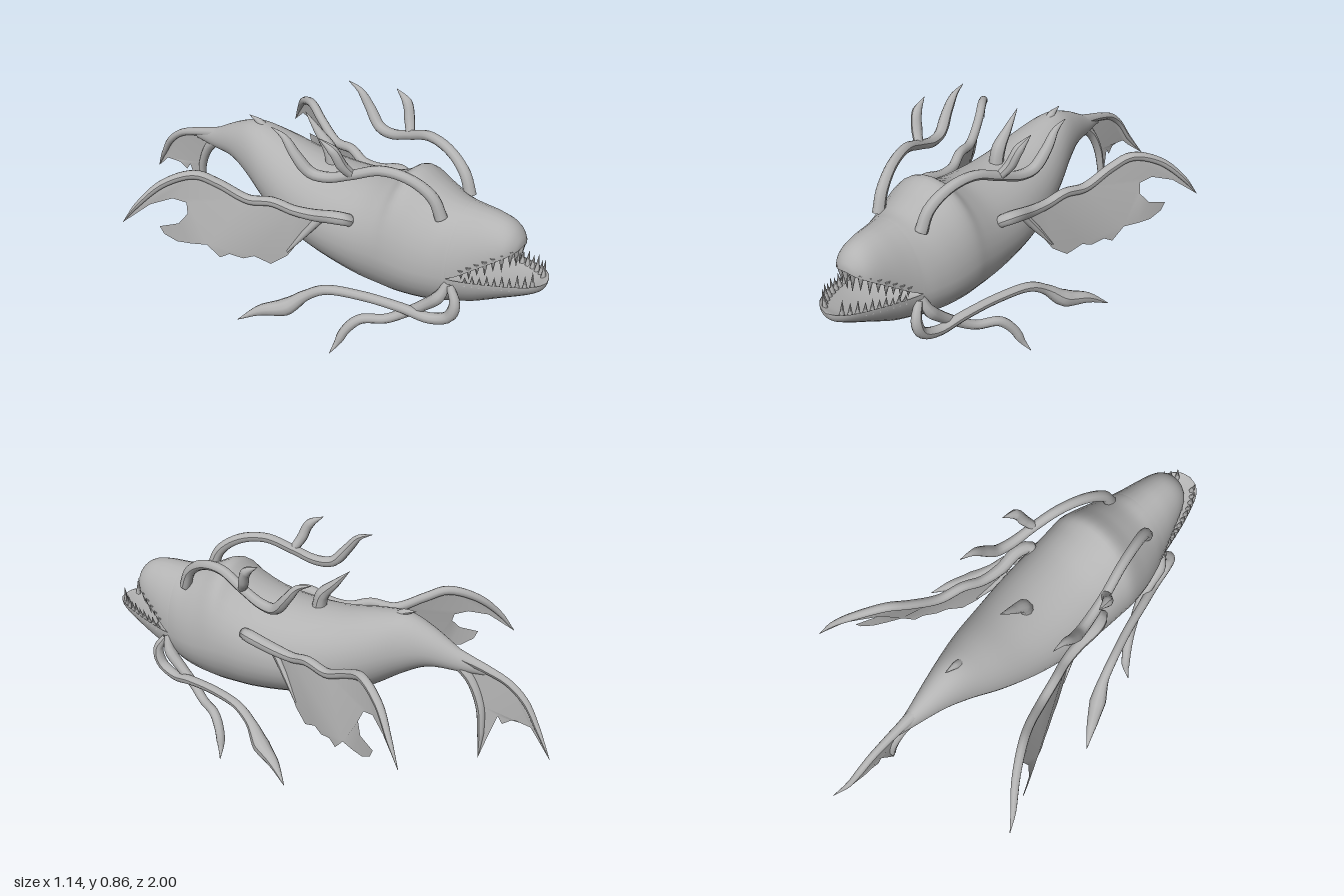
import * as THREE from 'three';

const V = (p, s = 1) => new THREE.Vector3(p[0] * s, p[1], p[2]);
const skin = new THREE.MeshStandardMaterial({ color: 0xb3b3b3, side: THREE.DoubleSide });
skin.name = 'grey skin';

function mesh(name, geometry) {
  const m = new THREE.Mesh(geometry, skin);
  m.name = name;
  return m;
}

// Smooth hull through sections [z, halfWidth, top, widestHeight, bottom], front to back
function loft(rows, steps = 5, sides = 32) {
  const a = new THREE.CatmullRomCurve3(rows.map(r => V([r[0], r[1], r[2]])), false, 'catmullrom');
  const b = new THREE.CatmullRomCurve3(rows.map(r => V([r[0], r[3], r[4]])), false, 'catmullrom');
  const n = (rows.length - 1) * steps, pos = [], idx = [];
  for (let i = 0; i <= n; i++) {
    const p = a.getPoint(i / n), q = b.getPoint(i / n);
    const w = Math.max(p.y, 0), top = p.z, mid = q.y, bottom = q.z;
    for (let j = 0; j < sides; j++) {
      const t = j / sides * Math.PI * 2, s = Math.sin(t);
      pos.push(w * Math.cos(t), mid + (s > 0 ? top - mid : mid - bottom) * s, p.x);
      if (i < n) {
        const k = i * sides + j, l = i * sides + (j + 1) % sides;
        idx.push(k, k + sides, l, l, k + sides, l + sides);
      }
    }
  }
  const g = new THREE.BufferGeometry();
  g.setAttribute('position', new THREE.Float32BufferAttribute(pos, 3));
  g.setIndex(idx);
  g.computeVertexNormals();
  return g;
}

// Tube whose radius follows a list of values; side = -1 mirrors it
function limb(points, radii, side = 1, steps = 40) {
  const curve = new THREE.CatmullRomCurve3(points.map(p => V(p, side)));
  const g = new THREE.TubeGeometry(curve, steps, 1, 10), at = g.attributes.position;
  const v = new THREE.Vector3();
  for (let i = 0; i < at.count; i++) {
    const t = Math.floor(i / 11) / steps, c = curve.getPointAt(t);
    const f = t * (radii.length - 1), k = Math.min(Math.floor(f), radii.length - 2);
    const r = THREE.MathUtils.lerp(radii[k], radii[k + 1], f - k);
    v.fromBufferAttribute(at, i).sub(c).multiplyScalar(r).add(c);
    at.setXYZ(i, v.x, v.y, v.z);
  }
  g.computeVertexNormals();
  return g;
}

// Thin membrane drawn in (z, y), placed sideways by a rule
function sheet(outline, xRule) {
  const g = new THREE.ShapeGeometry(new THREE.Shape(outline.map(p => new THREE.Vector2(...p))));
  const at = g.attributes.position;
  for (let i = 0; i < at.count; i++) {
    const z = at.getX(i), y = at.getY(i);
    at.setXYZ(i, xRule(z, y), y, z);
  }
  g.computeVertexNormals();
  return g;
}

// Row of cone teeth along one side of a lip
function teeth(name, lip, count, dir, side, group) {
  const curve = new THREE.CatmullRomCurve3(lip.map(p => V(p, side)));
  for (let i = 0; i < count; i++) {
    const t = (i + 0.5) / count, h = (dir < 0 ? 0.1 : 0.08) * (1 - 0.45 * t) * (i % 2 ? 0.85 : 1);
    const tooth = mesh(name, new THREE.ConeGeometry(dir < 0 ? 0.014 : 0.012, h, 6));
    tooth.position.copy(curve.getPointAt(t));
    tooth.position.y += dir * (h / 2 - 0.012);
    if (dir < 0) tooth.rotation.x = Math.PI;
    tooth.rotation.z += -dir * side * 0.1;
    group.add(tooth);
  }
}

export function createModel() {
  const model = new THREE.Group();
  model.name = 'seaBeast';

  // Trunk, from the mouth corners to the tail root
  model.add(mesh('body', loft([
    [0.66, 0.168, 0.638, 0.388, 0.222], [0.6, 0.192, 0.643, 0.39, 0.203], [0.52, 0.215, 0.675, 0.395, 0.19],
    [0.43, 0.23, 0.715, 0.41, 0.18], [0.36, 0.23, 0.67, 0.41, 0.18], [0.25, 0.226, 0.625, 0.4, 0.187],
    [0.09, 0.213, 0.608, 0.4, 0.215], [-0.07, 0.185, 0.62, 0.42, 0.25], [-0.23, 0.145, 0.655, 0.48, 0.32],
    [-0.36, 0.1, 0.672, 0.53, 0.41], [-0.47, 0.065, 0.635, 0.545, 0.47], [-0.6, 0.03, 0.565, 0.52, 0.48],
    [-0.7, 0.008, 0.53, 0.51, 0.49]])));

  // Snout with a hollow palate, and the scooped lower jaw
  model.add(mesh('upperHead', loft([
    [0.892, 0, 0.535, 0.535, 0.535], [0.885, 0.04, 0.565, 0.526, 0.53], [0.86, 0.078, 0.6, 0.51, 0.53],
    [0.82, 0.103, 0.624, 0.485, 0.52], [0.76, 0.128, 0.635, 0.445, 0.485], [0.7, 0.152, 0.637, 0.405, 0.43],
    [0.66, 0.168, 0.638, 0.388, 0.388]])));
  model.add(mesh('lowerJaw', loft([
    [1, 0, 0.415, 0.415, 0.412], [0.985, 0.045, 0.412, 0.418, 0.38], [0.94, 0.084, 0.395, 0.416, 0.352],
    [0.84, 0.122, 0.372, 0.405, 0.302], [0.757, 0.143, 0.365, 0.394, 0.257], [0.7, 0.156, 0.37, 0.388, 0.234],
    [0.66, 0.168, 0.388, 0.388, 0.222]])));

  // Back spikes
  model.add(mesh('backSpike', limb([[0, 0.58, 0.03], [0, 0.66, 0.01], [0, 0.72, -0.045], [0, 0.79, -0.11]],
    [0.03, 0.028, 0.016, 0.001])));
  model.add(mesh('rearSpike', limb([[0, 0.64, -0.31], [0, 0.67, -0.345], [0, 0.688, -0.4]], [0.02, 0.014, 0.001])));

  // Tail: two curved lobes with a ragged web between them
  const tailX = (z, y) => 0.055 * Math.max(0, (-z - 0.82) / 0.18) ** 2
    + 0.035 * Math.max(0, (0.53 - y) / 0.4) * THREE.MathUtils.clamp((z + 0.9) / 0.2, 0, 1);
  const upper = [[-0.53, 0.56], [-0.71, 0.515], [-0.8, 0.48], [-0.87, 0.42], [-0.93, 0.33], [-1, 0.23]];
  const lower = [[-0.56, 0.53], [-0.64, 0.46], [-0.69, 0.36], [-0.705, 0.25], [-0.705, 0.13]];
  const onTail = ([z, y]) => [tailX(z, y), y, z];
  model.add(mesh('upperTailLobe', limb(upper.map(onTail), [0.03, 0.02, 0.016, 0.015, 0.011, 0.001])));
  model.add(mesh('lowerTailLobe', limb(lower.map(onTail), [0.025, 0.02, 0.018, 0.014, 0.001])));
  model.add(mesh('tailWeb', sheet([...upper, [-0.93, 0.29], [-0.9, 0.32], [-0.86, 0.325], [-0.82, 0.325],
    [-0.785, 0.3], [-0.765, 0.33], [-0.74, 0.25], ...lower.slice().reverse()], tailX)));

  for (const side of [1, -1]) {
    const half = new THREE.Group();
    half.name = side > 0 ? 'leftSide' : 'rightSide';
    model.add(half);

    // Forked feeler on the brow
    half.add(mesh('browFeeler', limb([[0.105, 0.6, 0.6], [0.115, 0.68, 0.565], [0.14, 0.74, 0.48],
      [0.17, 0.755, 0.37], [0.2, 0.715, 0.26], [0.22, 0.68, 0.16], [0.235, 0.685, 0.09], [0.25, 0.75, 0.03],
      [0.252, 0.81, -0.02], [0.255, 0.835, -0.08]],
    [0.025, 0.023, 0.021, 0.02, 0.02, 0.02, 0.022, 0.024, 0.018, 0.001], side)));
    half.add(mesh('feelerBranch', limb([[0.2, 0.715, 0.26], [0.23, 0.76, 0.235], [0.25, 0.82, 0.21],
      [0.262, 0.862, 0.15]], [0.018, 0.022, 0.02, 0.001], side)));

    // Side fin: bent arm, leading edge and scalloped membrane, cupped inward along the top
    const finX = (z, y) => 0.255 - 0.52 * z - 0.06 * THREE.MathUtils.smoothstep(y, 0.38, 0.52)
      * Math.sin(Math.PI * THREE.MathUtils.clamp(-z / 0.6, 0, 1));
    const edge = [[-0.07, 0.515], [-0.17, 0.505], [-0.285, 0.56], [-0.365, 0.592], [-0.47, 0.55], [-0.55, 0.46],
      [-0.605, 0.375]];
    half.add(mesh('finArm', limb([[0.17, 0.48, 0.22], [0.205, 0.515, 0.25], [0.228, 0.52, 0.2],
      [0.228, 0.495, 0.1], [0.242, 0.492, 0.01], ...edge.map(([z, y]) => [finX(z, y), y, z])],
    [0.022, 0.027, 0.025, 0.021, 0.02, 0.02, 0.019, 0.019, 0.018, 0.016, 0.011, 0.001], side, 56)));
    half.add(mesh('finMembrane', sheet([[0.12, 0.49], [0.02, 0.495], ...edge, [-0.51, 0.46], [-0.44, 0.485],
      [-0.39, 0.47], [-0.375, 0.43], [-0.4, 0.39], [-0.47, 0.37], [-0.455, 0.335], [-0.41, 0.305],
      [-0.36, 0.3], [-0.3, 0.3], [-0.255, 0.245], [-0.22, 0.265], [-0.17, 0.25], [-0.13, 0.265],
      [-0.07, 0.235], [-0.01, 0.28], [0.05, 0.38]], (z, y) => side * Math.max(0.2, finX(z, y)))));
    half.add(mesh('finRootRib', limb([[0.2, 0.48, 0.12], [0.225, 0.4, 0.06], [0.26, 0.3, -0.01]],
      [0.018, 0.014, 0.004], side, 16)));

    // Two whiskers hanging from the jaw corner
    half.add(mesh('shortWhisker', limb([[0.155, 0.37, 0.67], [0.175, 0.31, 0.65], [0.185, 0.25, 0.59],
      [0.2, 0.195, 0.52], [0.235, 0.155, 0.45], [0.285, 0.145, 0.365], [0.32, 0.095, 0.32], [0.345, 0.04, 0.3],
      [0.378, 0, 0.285]], [0.015, 0.025, 0.022, 0.02, 0.019, 0.019, 0.02, 0.018, 0.001], side)));
    half.add(mesh('longWhisker', limb([[0.155, 0.36, 0.68], [0.17, 0.3, 0.715], [0.175, 0.235, 0.695],
      [0.19, 0.205, 0.62], [0.225, 0.228, 0.51], [0.27, 0.245, 0.36], [0.32, 0.243, 0.22], [0.348, 0.2, 0.145],
      [0.385, 0.142, 0.08], [0.44, 0.118, -0.01], [0.49, 0.07, -0.085]],
    [0.015, 0.024, 0.022, 0.02, 0.019, 0.019, 0.019, 0.021, 0.036, 0.022, 0.001], side, 56)));

    // Teeth
    teeth('upperTooth', [[0, 0.53, 0.877], [0.045, 0.522, 0.868], [0.085, 0.498, 0.825], [0.115, 0.455, 0.76],
      [0.14, 0.415, 0.7]], 8, -1, side, half);
    teeth('lowerTooth', [[0.035, 0.41, 0.972], [0.06, 0.41, 0.95], [0.09, 0.405, 0.9], [0.12, 0.395, 0.81],
      [0.142, 0.383, 0.72]], 10, 1, side, half);
  }
  return model;
}
